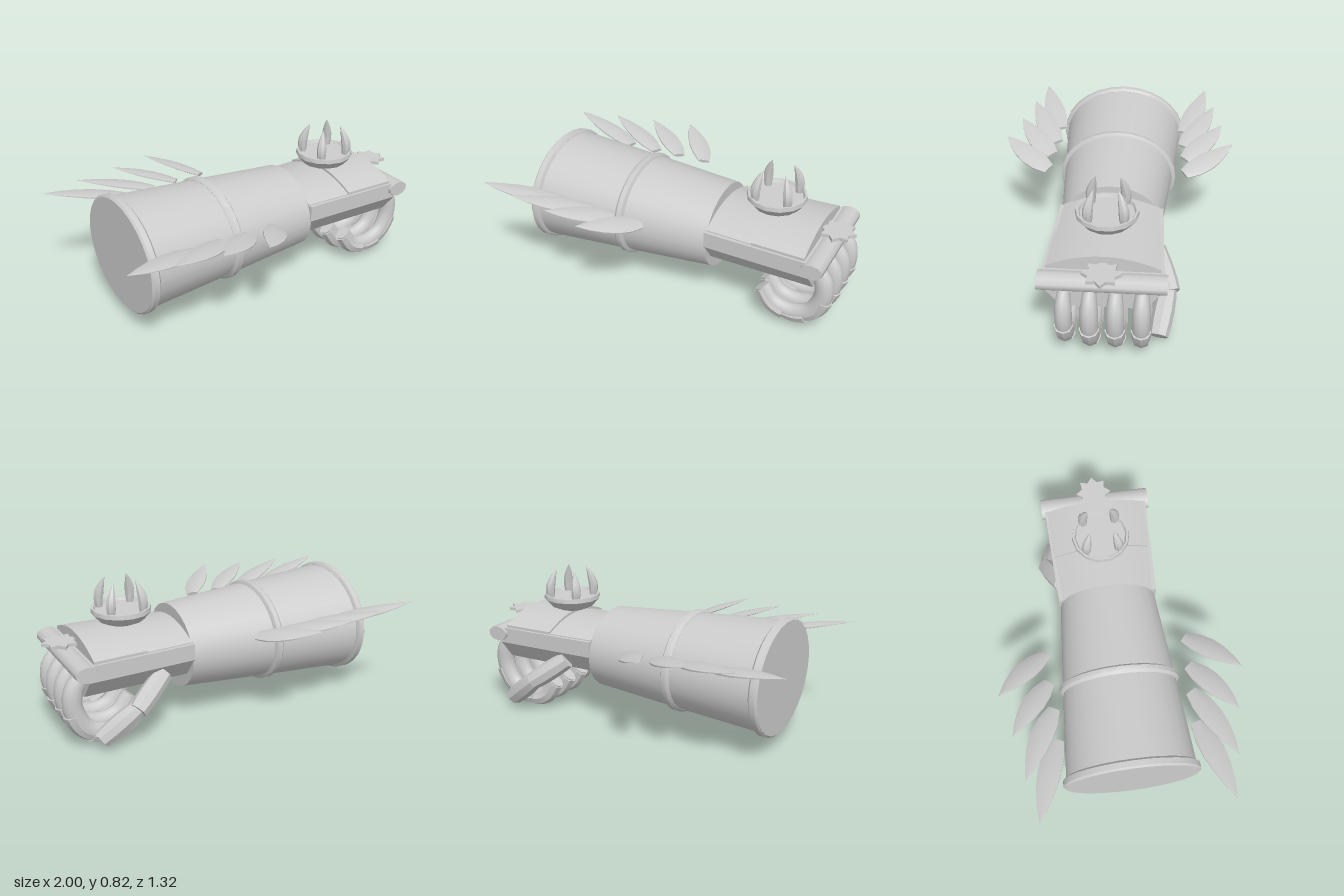
import * as THREE from 'three';
import { toCreasedNormals } from 'three/addons/utils/BufferGeometryUtils.js';

const V = (x, y, z) => new THREE.Vector3(x, y, z);
const Z = V(0, 0, 1);

// Skin a list of rings (counterclockwise about the travel direction) and cap both ends.
function loft(rings, crease = 0.7) {
  const pos = [];
  const tri = (...p) => p.forEach((v) => pos.push(v.x, v.y, v.z));
  const n = rings[0].length;
  for (let i = 0; i < rings.length - 1; i++) {
    for (let j = 0; j < n; j++) {
      const k = (j + 1) % n;
      tri(rings[i][j], rings[i][k], rings[i + 1][k]);
      tri(rings[i][j], rings[i + 1][k], rings[i + 1][j]);
    }
  }
  [rings[0], rings[rings.length - 1]].forEach((ring, end) => {
    const c = ring.reduce((s, p) => s.add(p), V(0, 0, 0)).divideScalar(n);
    for (let j = 0; j < n; j++) {
      const k = (j + 1) % n;
      if (end) tri(c, ring[j], ring[k]);
      else tri(c, ring[k], ring[j]);
    }
  });
  const g = new THREE.BufferGeometry();
  g.setAttribute('position', new THREE.Float32BufferAttribute(pos, 3));
  return toCreasedNormals(g, crease);
}

// Sweep an elliptical section along a curve from t0 to t1.
// size(u) returns [radius across, radius along the hint, shift across].
function sweep(curve, size, { steps = 12, sides = 10, hint = Z, t0 = 0, t1 = 1 } = {}) {
  const rings = [];
  for (let i = 0; i <= steps; i++) {
    const u = i / steps, t = t0 + (t1 - t0) * u;
    const p = curve.getPoint(t), T = curve.getTangent(t);
    const W = hint.clone().addScaledVector(T, -hint.dot(T)).normalize();
    const S = W.clone().cross(T);
    const [a, b, shift = 0] = size(u);
    rings.push(Array.from({ length: sides }, (_, j) => {
      const q = (j / sides) * Math.PI * 2;
      return p.clone().addScaledVector(S, a * Math.cos(q) + shift).addScaledVector(W, b * Math.sin(q));
    }));
  }
  return loft(rings);
}

// Prism along x from a [z, y] profile, its width scaled at either end.
const prism = (profile, x0, x1, s0, s1) => loft([[x0, s0], [x1, s1]].map(
  ([x, s]) => profile.map(([z, y]) => V(x, y, z * s))), 0.5);

// Linear lookup in a short list of evenly spaced values.
const pick = (list, u) => {
  const f = u * (list.length - 1), i = Math.min(Math.floor(f), list.length - 2);
  return list[i] + (list[i + 1] - list[i]) * (f - i);
};

export function createModel() {
  const model = new THREE.Group();
  const grey = new THREE.MeshStandardMaterial({ color: 0xcccccc });
  grey.name = 'plainGrey';
  const add = (name, geometry, parent = model) => {
    const m = new THREE.Mesh(geometry, grey);
    m.name = name;
    parent.add(m);
    return m;
  };

  // Forearm sleeve and its two raised bands, oval in section
  const sleeveBand = (name, profile) => {
    const rings = profile.map(([x, r]) => Array.from({ length: 28 }, (_, j) => {
      const q = (j / 28) * Math.PI * 2;
      return V(x, 0.4 + r * Math.cos(q), r * 1.19 * Math.sin(q));
    }));
    add(name, loft(rings));
  };
  sleeveBand('forearmSleeve', [[-0.79, 0.303], [-0.25, 0.267], [0.255, 0.23]]);
  sleeveBand('elbowRim', [[-0.8, 0.306], [-0.79, 0.316], [-0.76, 0.316], [-0.748, 0.302]]);
  sleeveBand('middleRim', [[-0.28, 0.271], [-0.265, 0.283], [-0.24, 0.283], [-0.228, 0.267]]);

  // Palm block and the two arched plates on the back of the hand
  add('palm', prism([[0, 0.5], [0.3, 0.5], [0.3, 0.41], [0.21, 0.3], [-0.21, 0.3], [-0.3, 0.41], [-0.3, 0.5]],
    0.25, 0.85, 0.93, 1));
  const arch = (half, edge, peak) => {
    const top = Array.from({ length: 13 }, (_, i) => {
      const s = i / 6 - 1;
      return [s * half, edge + (peak - edge) * (1 - s * s)];
    });
    return [...top, [half, 0.46], [-half, 0.46]];
  };
  add('rearHandPlate', prism(arch(0.27, 0.505, 0.567), 0.25, 0.53, 0.95, 1));
  add('frontHandPlate', prism(arch(0.285, 0.515, 0.582), 0.52, 0.815, 0.96, 1));

  // Knuckle bar across the hand
  const bar = add('knuckleBar', new THREE.CylinderGeometry(1, 1, 0.635, 10));
  bar.rotation.x = Math.PI / 2;
  bar.scale.set(0.062, 1, 0.043);
  bar.position.set(0.863, 0.465, 0);

  // Thin star ornament above the knuckles
  const star = new THREE.Shape(Array.from({ length: 16 }, (_, i) => {
    const r = i % 2 ? 0.07 : 0.1, q = (i / 16) * Math.PI * 2;
    return new THREE.Vector2(r * Math.cos(q), r * Math.sin(q));
  }));
  const starMesh = add('knuckleStar', new THREE.ExtrudeGeometry(star, { depth: 0.018, bevelEnabled: false }));
  starMesh.rotation.x = -Math.PI / 2;
  starMesh.position.set(0.895, 0.528, 0);

  // Four curled fingers, each with overlapping outer plates
  const fingerCurve = new THREE.CatmullRomCurve3([
    V(0.84, 0.42, 0), V(0.9, 0.34, 0), V(0.908, 0.23, 0), V(0.85, 0.115, 0),
    V(0.74, 0.068, 0), V(0.62, 0.095, 0), V(0.545, 0.19, 0)]);
  const fingerGeo = sweep(fingerCurve, (u) => [pick([0.045, 0.055, 0.055, 0.054, 0.05, 0.047], u),
    pick([0.03, 0.046, 0.047, 0.045, 0.042, 0.038], u)], { steps: 26, sides: 12 });
  const plates = [[0.36, 0.57], [0.57, 0.74], [0.74, 0.985]].map(([t0, t1]) =>
    sweep(fingerCurve, (u) => [0.05 - 0.005 * u, 0.051 - 0.007 * u, 0.014 - 0.004 * u],
      { steps: 7, sides: 8, t0, t1 }));
  [[0.19, 0.025], [0.063, 0.001], [-0.065, 0], [-0.195, 0.003]].forEach(([z, lift], i) => {
    const finger = new THREE.Group();
    finger.name = 'finger' + (i + 1);
    finger.position.set(0, lift, z);
    if (i === 0) finger.scale.setScalar(0.94), finger.position.set(0.05, lift, z);
    add('fingerCore', fingerGeo, finger);
    plates.forEach((g, k) => add('fingerPlate' + (k + 1), g, finger));
    model.add(finger);
  });

  // Thumb in two jointed segments
  const thumb = (name, a, b, r) => add(name, sweep(new THREE.LineCurve3(a, b),
    (u) => [pick(r, u), pick(r, u)], { steps: 4, sides: 8 }));
  thumb('thumbBase', V(0.42, 0.36, -0.25), V(0.61, 0.22, -0.335), [0.05, 0.056, 0.058, 0.05]);
  thumb('thumbTip', V(0.57, 0.25, -0.325), V(0.79, 0.075, -0.28), [0.04, 0.056, 0.058, 0.05]);

  // Shallow dish on the back of the hand, ringed by four claws
  const dishProfile = [[0, 0.585], [0.08, 0.59], [0.125, 0.61], [0.163, 0.655], [0.16, 0.678],
    [0.148, 0.678], [0.14, 0.662], [0, 0.662]].map(([r, y]) => new THREE.Vector2(r, y));
  add('crownDish', toCreasedNormals(new THREE.LatheGeometry(dishProfile, 14), 0.5)).position.set(0.547, 0, 0);
  for (const sx of [-1, 1]) {
    for (const sz of [-1, 1]) {
      const at = (d, y) => V(0.547 + sx * d, y, sz * d);
      const path = new THREE.CatmullRomCurve3([at(0.088, 0.65), at(0.09, 0.72), at(0.078, 0.78), at(0.062, 0.83)]);
      add('crownClaw', sweep(path, (u) => {
        const r = pick([0.018, 0.026, 0.027, 0.021, 0.012, 0.001], u);
        return [r, r];
      }, { steps: 10, sides: 8 }));
    }
  }

  // Leaf-shaped fins along both sides: root x, root z, tip x, tip z
  const fins = [[-0.56, 0.375, -1, 0.51], [-0.385, 0.375, -0.77, 0.56],
    [-0.235, 0.385, -0.53, 0.605], [-0.07, 0.385, -0.3, 0.66]];
  for (const side of [-1, 1]) {
    fins.forEach(([rx, rz, tx, tz], i) => {
      const a = V(rx, 0.527, side * rz), b = V(tx, 0.602, side * tz);
      const mid = a.clone().lerp(b, 0.5).add(V(0.012, 0, side * 0.012));
      add((side > 0 ? 'leftFin' : 'rightFin') + (i + 1), sweep(new THREE.QuadraticBezierCurve3(a, mid, b),
        (u) => [pick([0.01, 0.013, 0.014, 0.011, 0.006, 0.001], u),
          pick([0.036, 0.06, 0.066, 0.056, 0.034, 0.001], u)], { steps: 10, sides: 10 }));
    });
  }

  return model;
}
